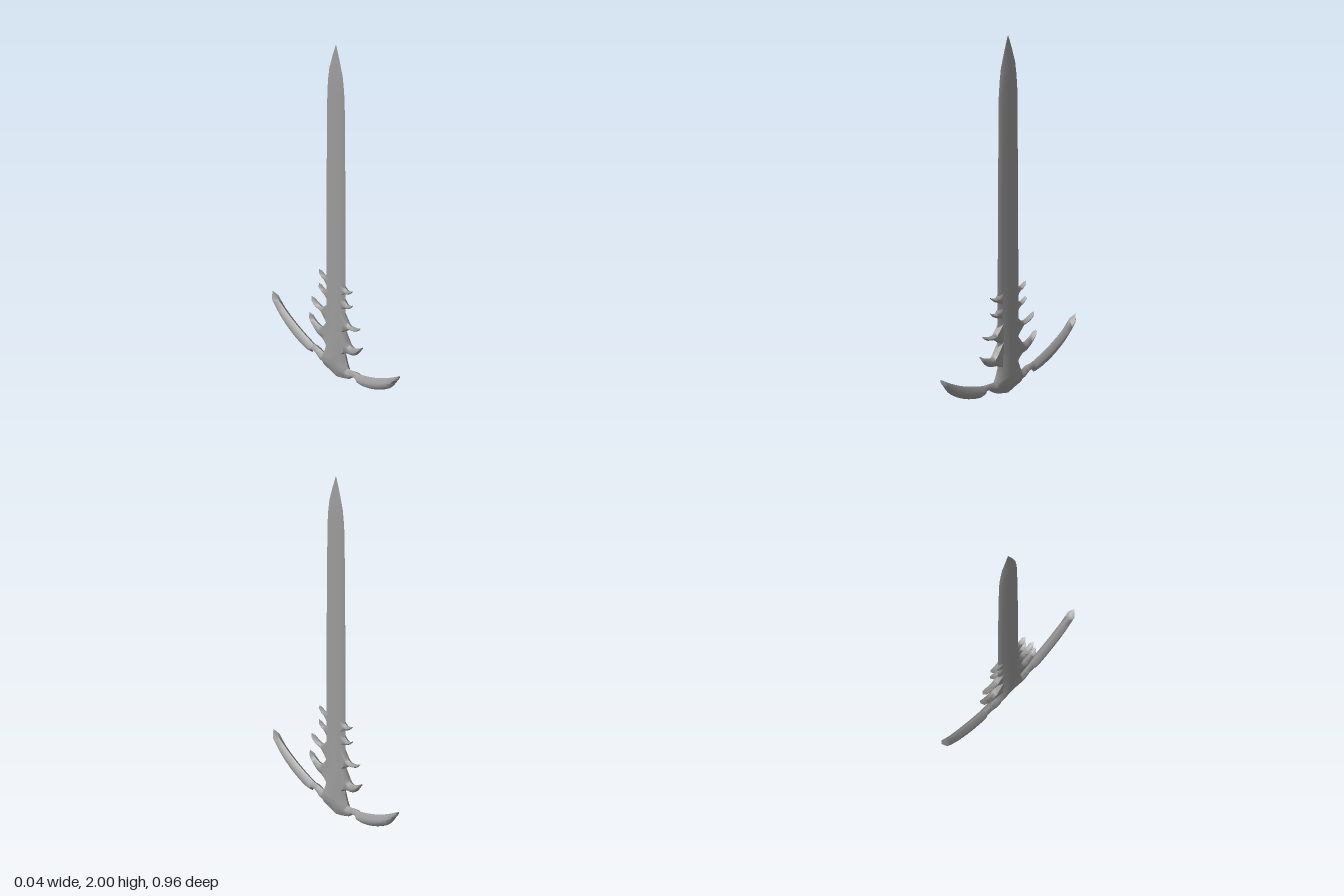
import * as THREE from 'three';
import { toCreasedNormals } from 'three/addons/utils/BufferGeometryUtils.js';

const material = new THREE.MeshStandardMaterial({ color: 0x9c9c9c });

// Lofts a bevelled cross-section between two edge lines in the z-y plane.
// Section: [z1, y1, z2, y2, half thickness]; 'steps' subdivides along a smooth curve.
function loft(name, sections, { steps = 1, bevel = 0.02, fuller = 1, mirror = false } = {}) {
  const edge = (k) => new THREE.CatmullRomCurve3(
    sections.map((s) => new THREE.Vector3(0, s[k + 1], s[k])), false, 'centripetal');
  const a = edge(0), b = edge(2);
  const rows = (sections.length - 1) * steps;
  const side = mirror ? -1 : 1;
  const positions = [], index = [];
  for (let i = 0; i <= rows; i++) {
    const p = a.getPoint(i / rows), q = b.getPoint(i / rows);
    const s = Math.min(Math.floor(i / steps), sections.length - 2);
    const t = THREE.MathUtils.lerp(sections[s][4], sections[s + 1][4], i / steps - s);
    const width = Math.hypot(q.z - p.z, q.y - p.y);
    const f = width > 0 ? Math.min(bevel / width, 0.4) : 0.4;
    const ring = [[0, 0], [f, t], [0.5, t * fuller], [1 - f, t],
      [1, 0], [1 - f, -t], [0.5, -t * fuller], [f, -t]];
    for (const [u, x] of ring) {
      positions.push(x, p.y + (q.y - p.y) * u, side * (p.z + (q.z - p.z) * u));
    }
  }
  for (let i = 0; i < rows; i++) {
    for (let j = 0; j < 8; j++) {
      const p = i * 8 + j, q = i * 8 + (j + 1) % 8, P = p + 8, Q = q + 8;
      if (mirror) index.push(p, q, P, q, Q, P);
      else index.push(p, P, q, q, P, Q);
    }
  }
  const geometry = new THREE.BufferGeometry();
  geometry.setAttribute('position', new THREE.Float32BufferAttribute(positions, 3));
  geometry.setIndex(index);
  // Bevels blend softly into the faces; only the outer cutting edge stays sharp
  const mesh = new THREE.Mesh(toCreasedNormals(geometry, 1.0), material);
  mesh.name = name;
  return mesh;
}

export function createModel() {
  const group = new THREE.Group();
  group.name = 'sword';

  // Blade with its swollen base: [height, half width, half thickness]
  const bladeProfile = [
    [0, 0, 0], [0.015, 0.05, 0.005], [0.035, 0.1, 0.011], [0.065, 0.112, 0.019],
    [0.1, 0.09, 0.021], [0.15, 0.073, 0.021], [0.25, 0.077, 0.019], [0.36, 0.074, 0.015],
    [0.6, 0.074, 0.013], [1.2, 0.071, 0.012], [1.68, 0.066, 0.012],
    [1.76, 0.06, 0.012], [1.83, 0.051, 0.011], [1.92, 0.026, 0.006], [2, 0, 0],
  ];
  group.add(loft('blade', bladeProfile.map(([y, w, t]) => [-w, y, w, y, t]), { fuller: 0.9 }));

  // Crescent guard horn: upper edge, lower edge, half thickness
  const horn = [
    [0.07, 0.1, 0.07, 0.035, 0.018], [0.1, 0.095, 0.1, 0.038, 0.02],
    [0.135, 0.1, 0.14, 0.066, 0.02], [0.165, 0.103, 0.17, 0.066, 0.02],
    [0.18, 0.106, 0.182, 0.048, 0.021], [0.25, 0.129, 0.26, 0.063, 0.021],
    [0.33, 0.163, 0.35, 0.105, 0.021], [0.4, 0.202, 0.42, 0.156, 0.021],
    [0.455, 0.238, 0.465, 0.218, 0.021], [0.482, 0.257, 0.482, 0.257, 0],
  ];

  // Edge thorns, lowest first
  const thorns = [
    [[0.05, 0.32, 0.05, 0.15, 0.019], [0.08, 0.275, 0.08, 0.178, 0.019],
      [0.105, 0.241, 0.125, 0.19, 0.018], [0.15, 0.247, 0.165, 0.218, 0.017],
      [0.185, 0.266, 0.189, 0.252, 0.015], [0.2, 0.278, 0.2, 0.278, 0]],
    [[0.05, 0.42, 0.05, 0.28, 0.017], [0.075, 0.388, 0.08, 0.312, 0.016],
      [0.1, 0.363, 0.105, 0.333, 0.015], [0.135, 0.364, 0.145, 0.345, 0.015],
      [0.17, 0.376, 0.173, 0.366, 0.013], [0.187, 0.384, 0.187, 0.384, 0]],
    [[0.05, 0.51, 0.05, 0.42, 0.014], [0.072, 0.488, 0.072, 0.442, 0.014],
      [0.09, 0.475, 0.098, 0.457, 0.013], [0.117, 0.484, 0.12, 0.477, 0.011],
      [0.129, 0.494, 0.129, 0.494, 0]],
    [[0.05, 0.59, 0.05, 0.5, 0.014], [0.07, 0.57, 0.072, 0.528, 0.014],
      [0.09, 0.561, 0.098, 0.544, 0.013], [0.115, 0.57, 0.118, 0.563, 0.011],
      [0.128, 0.578, 0.128, 0.578, 0]],
  ];

  for (const mirror of [false, true]) {
    const end = mirror ? 'Back' : 'Front';
    group.add(loft('guardHorn' + end, horn, { steps: 4, mirror }));
    thorns.forEach((thorn, i) => {
      group.add(loft('thorn' + end + (i + 1), thorn, { steps: 3, bevel: 0.014, mirror }));
    });
  }
  return group;
}
